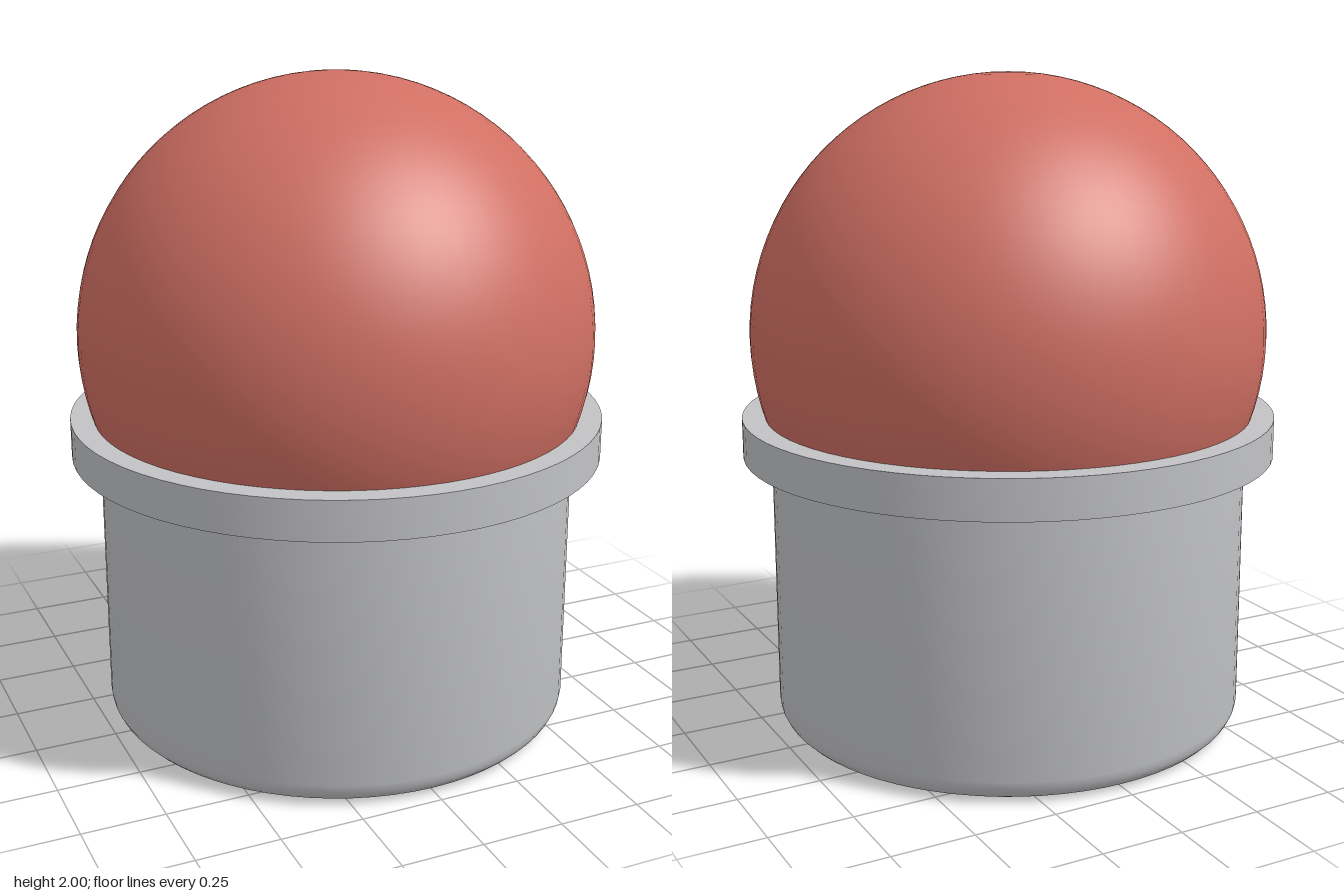
import * as THREE from 'three';
import { toCreasedNormals } from 'three/addons/utils/BufferGeometryUtils.js';

const SEGMENTS = 72;

// Revolve a profile of [radius, y] pairs, keeping sharp edges crisp
function revolve(profile) {
  const points = profile.map(([r, y]) => new THREE.Vector2(r, y));
  return toCreasedNormals(new THREE.LatheGeometry(points, SEGMENTS), Math.PI / 6);
}

export function createModel() {
  const metal = new THREE.MeshStandardMaterial({ name: 'greyMetal', color: 0xc2c3c6 });
  const red = new THREE.MeshStandardMaterial({ name: 'redBall', color: 0xd06f63 });
  const group = new THREE.Group();
  group.name = 'ballTransferUnit';

  const add = (name, geometry, material) => {
    const mesh = new THREE.Mesh(geometry, material);
    mesh.name = name;
    group.add(mesh);
    return mesh;
  };

  // Cup: flat base, rounded lower edge, straight wall
  const radius = 0.73, fillet = 0.07, steps = 5;
  const cup = [[0, 0]];
  for (let i = 0; i <= steps; i++) {
    const a = (i / steps) * Math.PI / 2;
    cup.push([radius - fillet + fillet * Math.sin(a), fillet - fillet * Math.cos(a)]);
  }
  cup.push([radius, 0.855]);
  add('cup', revolve(cup), metal);

  // Flange: flat collar reaching in to the ball
  add('flange', revolve([[radius, 0.855], [0.817, 0.855], [0.817, 0.975], [0.74, 0.975]]), metal);

  // Ball seated in the cup
  add('ball', new THREE.SphereGeometry(0.785, SEGMENTS, 48), red).position.y = 1.215;

  return group;
}
